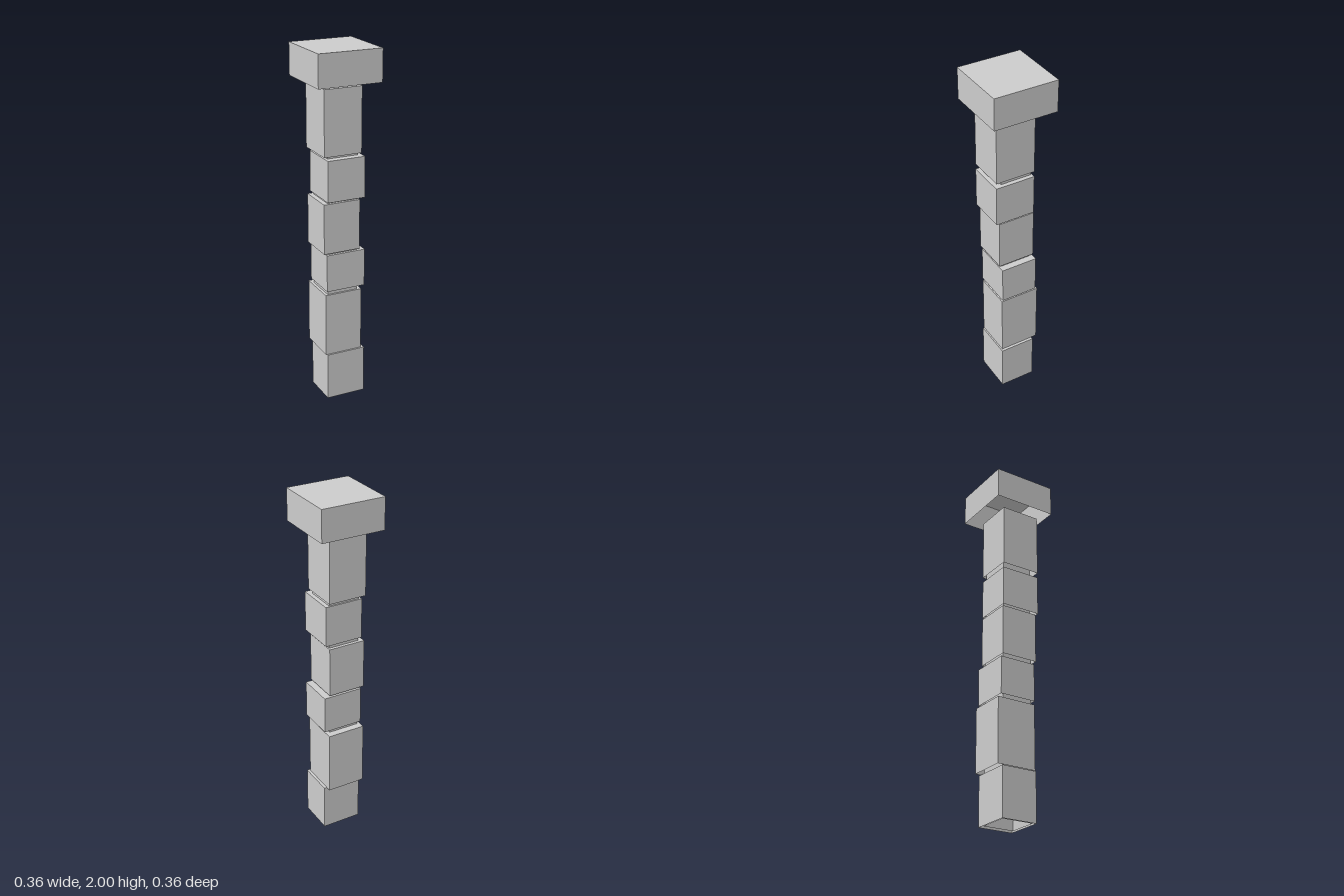
import * as THREE from 'three';

const material = new THREE.MeshStandardMaterial({
  color: 0xcccccc, flatShading: true, side: THREE.DoubleSide,
});

// Box shell with a closed top and an open underside
function openBox(name, [x0, x1], [y0, y1], [z0, z1]) {
  const geometry = new THREE.BoxGeometry(x1 - x0, y1 - y0, z1 - z0);
  const index = Array.from(geometry.index.array);
  index.splice(18, 6); // drop the bottom face
  geometry.setIndex(index);
  geometry.translate((x0 + x1) / 2, (y0 + y1) / 2, (z0 + z1) / 2);
  const mesh = new THREE.Mesh(geometry, material);
  mesh.name = name;
  return mesh;
}

export function createModel() {
  const pillar = new THREE.Group();
  pillar.name = 'stackedPillar';

  // Slim core showing in the gaps between blocks
  pillar.add(openBox('core', [-0.09, 0.088], [0, 1.822], [-0.088, 0.091]));

  // Irregular stacked blocks, bottom to top: x range, y range, z range
  const blocks = [
    [[-0.1, 0.128], [0, 0.276], [-0.096, 0.11]],
    [[-0.106, 0.112], [0.276, 0.642], [-0.128, 0.101]],
    [[-0.1, 0.128], [0.665, 0.88], [-0.106, 0.106]],
    [[-0.117, 0.096], [0.89, 1.175], [-0.106, 0.106]],
    [[-0.106, 0.112], [1.193, 1.423], [-0.096, 0.132]],
    [[-0.122, 0.096], [1.441, 1.802], [-0.106, 0.122]],
  ];
  blocks.forEach((ranges, i) => pillar.add(openBox(`block${i + 1}`, ...ranges)));

  // Wide square capital
  pillar.add(openBox('capital', [-0.182, 0.182], [1.822, 2], [-0.182, 0.182]));

  return pillar;
}
